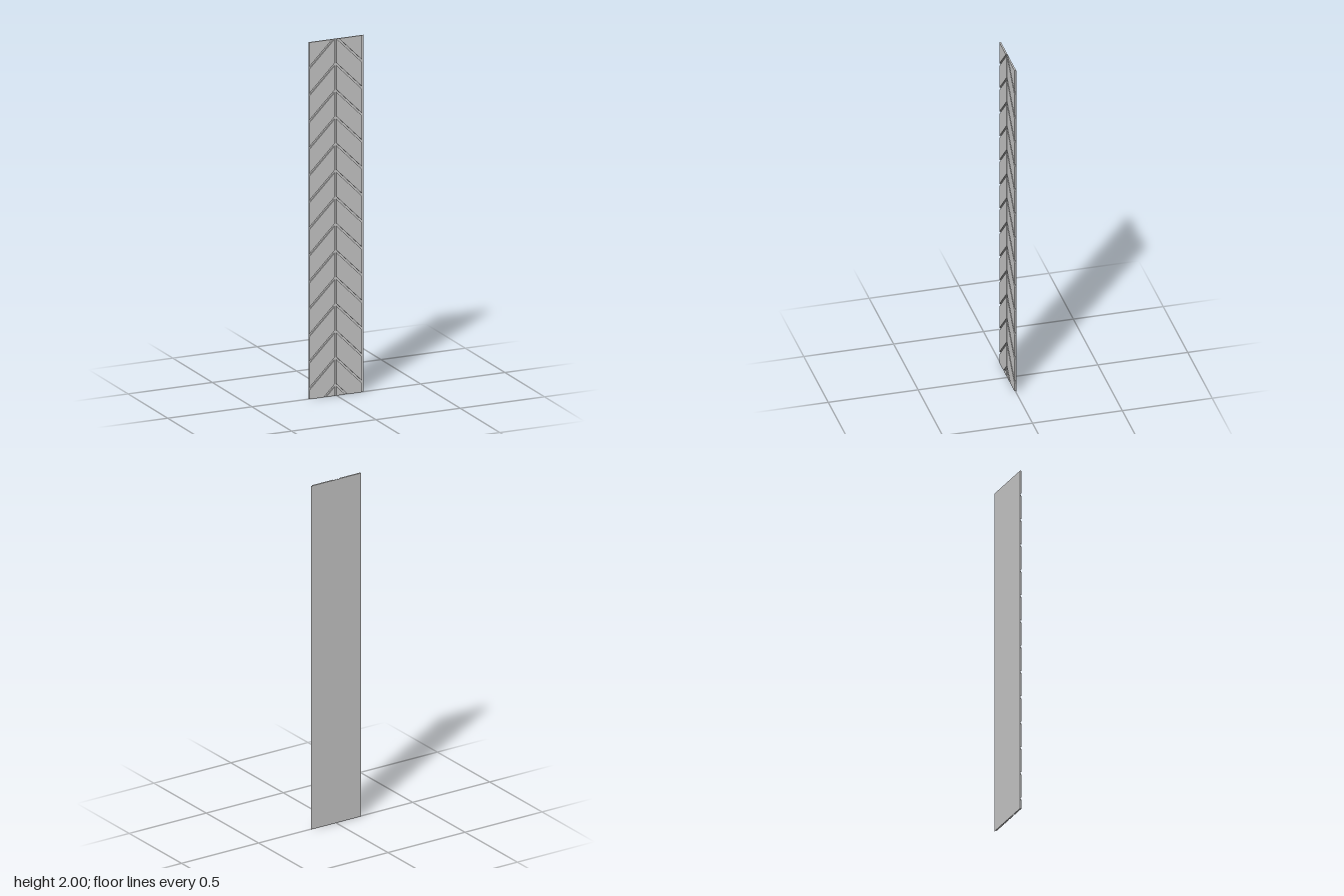
import * as THREE from 'three';

const HEIGHT = 2, WIDTH = 0.324;
const BACK = -0.0045, FLOOR = -0.003, FRONT = 0.0045; // depth of plate and tread
const PITCH = 0.15, GAP = 0.015, BLOCK = 0.15;        // chevron spacing, groove, block width

// Keep the part of a polygon where sign * y <= sign * limit
function clip(points, limit, sign) {
  const out = [];
  points.forEach((a, i) => {
    const b = points[(i + 1) % points.length];
    const da = sign * (limit - a.y), db = sign * (limit - b.y);
    if (da >= 0) out.push(a);
    if (da * db < 0) out.push(a.clone().lerp(b, da / (da - db)));
  });
  return out;
}

export function createModel() {
  const model = new THREE.Group();
  model.name = 'treadStrip';
  const material = new THREE.MeshStandardMaterial({ color: 0xcccccc, flatShading: true });

  // Thin backing sheet
  const sheet = new THREE.Mesh(new THREE.BoxGeometry(WIDTH, HEIGHT, FLOOR - BACK), material);
  sheet.name = 'backingSheet';
  sheet.position.set(0, HEIGHT / 2, (BACK + FLOOR) / 2);
  model.add(sheet);

  // Two columns of slanted blocks, falling away from the centre groove
  const columns = [
    { name: 'rightTreadBlocks', inner: -0.012, dir: -1 },
    { name: 'leftTreadBlocks', inner: 0, dir: 1 },
  ];
  for (const { name, inner, dir } of columns) {
    const column = new THREE.Group();
    column.name = name;
    const outer = inner + dir * BLOCK;
    for (let k = -1; k <= 13; k++) {
      const top = HEIGHT - k * PITCH, bottom = top - PITCH + GAP;
      let outline = [
        new THREE.Vector2(inner, bottom),
        new THREE.Vector2(outer, bottom - BLOCK),
        new THREE.Vector2(outer, top - BLOCK),
        new THREE.Vector2(inner, top),
      ];
      outline = clip(clip(outline, HEIGHT, 1), 0, -1);
      if (outline.length < 3) continue;
      const geometry = new THREE.ExtrudeGeometry(new THREE.Shape(outline), {
        depth: FRONT - FLOOR, bevelEnabled: false,
      });
      const block = new THREE.Mesh(geometry, material);
      block.name = 'treadBlock';
      block.position.z = FLOOR;
      column.add(block);
    }
    model.add(column);
  }
  return model;
}
